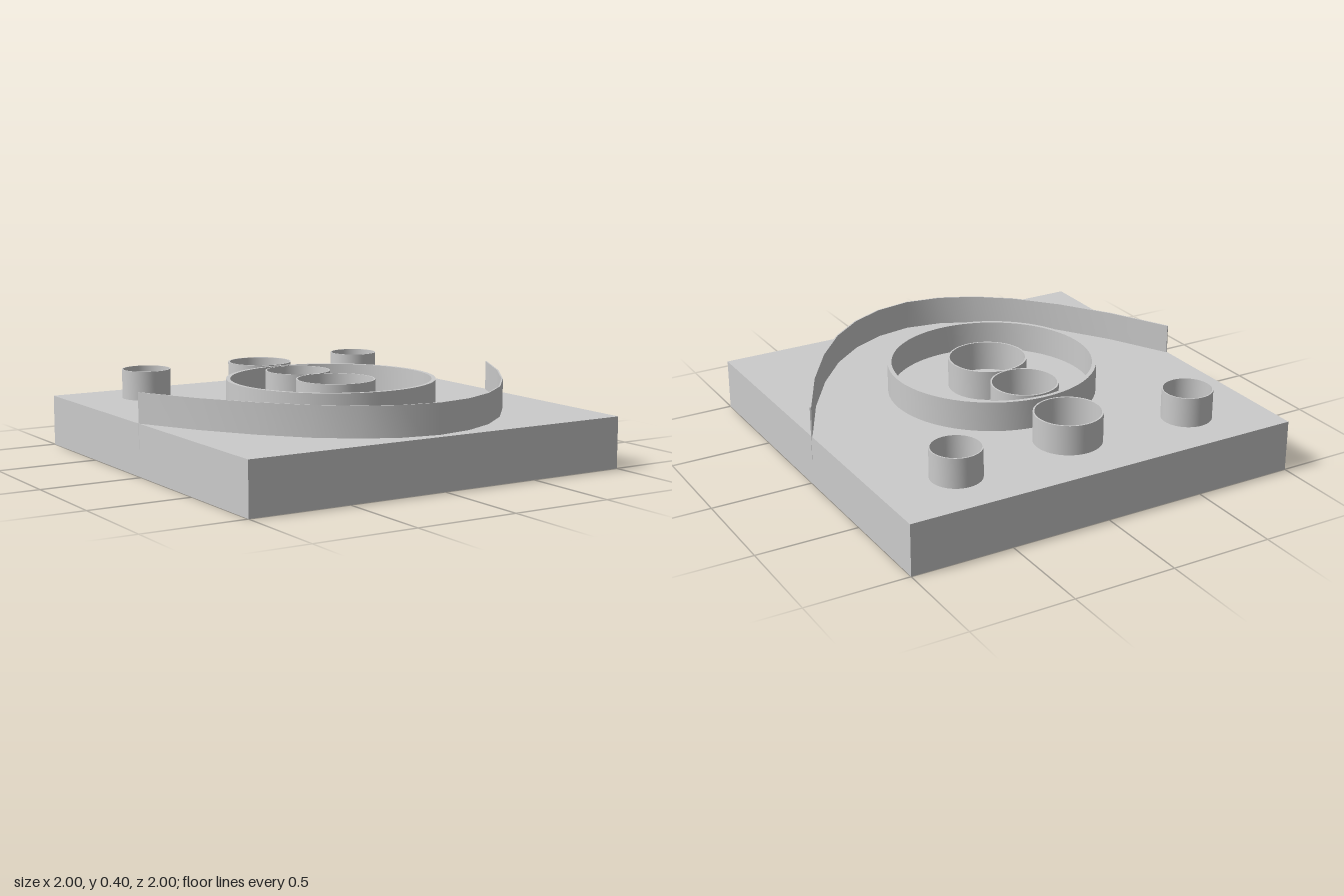
import * as THREE from 'three';
import { toCreasedNormals } from 'three/addons/utils/BufferGeometryUtils.js';

const BASE_HEIGHT = 0.25;
const WALL_BOTTOM = 0.13; // walls are sunk into the slab
const WALL_TOP = 0.395;

const material = new THREE.MeshStandardMaterial({ color: 0xcccccc, side: THREE.DoubleSide });

function addMesh(group, name, geometry) {
  const mesh = new THREE.Mesh(geometry, material);
  mesh.name = name;
  group.add(mesh);
  return mesh;
}

// Upright open tube with a rectangular wall section
function ringGeometry(radius, wall) {
  const inner = radius - wall;
  const profile = [
    [inner, WALL_BOTTOM], [radius, WALL_BOTTOM], [radius, WALL_TOP],
    [inner, WALL_TOP], [inner, WALL_BOTTOM],
  ].map(([r, y]) => new THREE.Vector2(r, y));
  return toCreasedNormals(new THREE.LatheGeometry(profile, 64), Math.PI / 5);
}

// Thin upright wall following a plan path of [x, z] points
function wallGeometry(path, thickness) {
  const points = path.map(([x, z]) => new THREE.Vector2(x, -z));
  const offset = (side) => points.map((p, i) => {
    const before = points[Math.max(i - 1, 0)];
    const after = points[Math.min(i + 1, points.length - 1)];
    const t = after.clone().sub(before).normalize();
    return new THREE.Vector2(p.x - t.y * side, p.y + t.x * side);
  });
  const half = thickness / 2;
  const shape = new THREE.Shape([...offset(half), ...offset(-half).reverse()]);
  const geometry = new THREE.ExtrudeGeometry(shape, {
    depth: WALL_TOP - WALL_BOTTOM, bevelEnabled: false,
  });
  geometry.rotateX(-Math.PI / 2).translate(0, WALL_BOTTOM, 0);
  return toCreasedNormals(geometry, Math.PI / 5);
}

export function createModel() {
  const model = new THREE.Group();
  model.name = 'reliefPlate';

  // Square slab
  addMesh(model, 'baseSlab', new THREE.BoxGeometry(2, BASE_HEIGHT, 2))
    .position.y = BASE_HEIGHT / 2;

  // Raised rings: name, x, z, outer radius, wall thickness
  const rings = [
    ['largeRing', 0, 0.05, 0.508, 0.02],
    ['centreRing', 0, 0.093, 0.192, 0.008],
    ['middleRing', 0, -0.26, 0.162, 0.008],
    ['backRing', 0, -0.645, 0.162, 0.008],
    ['leftCornerRing', 0.62, -0.71, 0.121, 0.006],
    ['rightCornerRing', -0.62, -0.71, 0.121, 0.006],
  ];
  for (const [name, x, z, radius, wall] of rings) {
    addMesh(model, name, ringGeometry(radius, wall)).position.set(x, 0, z);
  }

  // Curved wall, mirrored about x = 0
  const halfPath = [
    [0.998, -0.02], [0.845, 0.275], [0.682, 0.52], [0.518, 0.71],
    [0.35, 0.843], [0.18, 0.922],
  ];
  const mirrored = halfPath.map(([x, z]) => [-x, z]);
  const path = [...mirrored, [0, 0.952], ...halfPath.reverse()];
  addMesh(model, 'curvedWall', wallGeometry(path, 0.007));

  return model;
}
